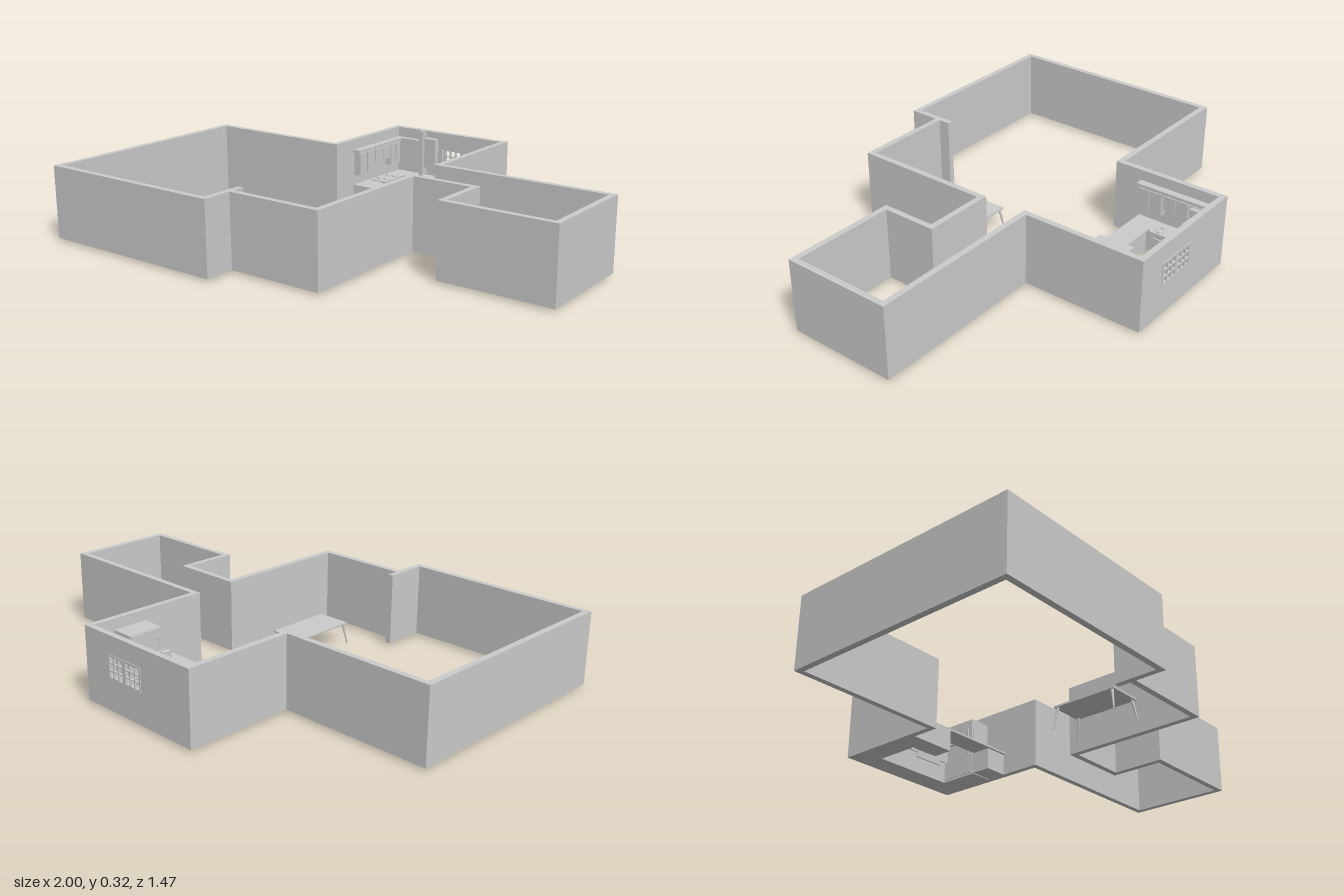
import * as THREE from 'three';

const WALL_BASE = 0.01, WALL_TOP = 0.315, T = 0.025, COUNTER = 0.11;

export function createModel() {
  const model = new THREE.Group();
  const mat = new THREE.MeshStandardMaterial({ color: 0xcccccc, flatShading: true });

  const add = (parent, name, geometry) => {
    const mesh = new THREE.Mesh(geometry, mat);
    mesh.name = name;
    parent.add(mesh);
    return mesh;
  };
  // box given by its limits on each axis
  const box = (parent, name, [x0, x1], [y0, y1], [z0, z1]) => {
    const mesh = add(parent, name, new THREE.BoxGeometry(x1 - x0, y1 - y0, z1 - z0));
    mesh.position.set((x0 + x1) / 2, (y0 + y1) / 2, (z0 + z1) / 2);
    return mesh;
  };
  const group = (name) => {
    const g = new THREE.Group();
    g.name = name;
    model.add(g);
    return g;
  };
  // horizontal bar or leg between two points
  const rod = (parent, name, a, b, r0, r1 = r0, sides = 8) => {
    const from = new THREE.Vector3(...a), dir = new THREE.Vector3(...b).sub(from);
    const mesh = add(parent, name, new THREE.CylinderGeometry(r1, r0, dir.length(), sides));
    mesh.position.copy(from).addScaledVector(dir, 0.5);
    mesh.quaternion.setFromUnitVectors(new THREE.Vector3(0, 1, 0), dir.normalize());
    return mesh;
  };

  // Outer walls: an open band around the floor plan, starting and ending at the window wall
  const walls = group('walls');
  const plan = [
    [0.245, -0.735], [0.245, -0.215], [1, -0.215], [1, 0.245], [0.515, 0.245], [0.515, 0.015 + T - 0.025],
    [0.23 + T, 0.015], [0.255, 0.605], [-0.16, 0.605], [-0.16, 0.735], [-1, 0.735],
    [-1, -0.265], [-0.345, -0.265], [-0.345, -0.735],
  ];
  const n = plan.length;
  const inner = plan.map(([x, z], i) => {
    const p = plan[(i + n - 1) % n], q = plan[(i + 1) % n];
    const a = [Math.sign(x - p[0]), Math.sign(z - p[1])], b = [Math.sign(q[0] - x), Math.sign(q[1] - z)];
    return [x - T * (a[1] + b[1]), z + T * (a[0] + b[0])];
  });
  const zBack = -0.735 + T;
  const outerBand = plan.map(([x, z]) => [x, Math.max(z, zBack)]);
  const band = [...outerBand, ...inner.reverse()];
  const bandGeo = new THREE.ExtrudeGeometry(
    new THREE.Shape(band.map(([x, z]) => new THREE.Vector2(x, -z))),
    { depth: WALL_TOP - WALL_BASE, bevelEnabled: false });
  bandGeo.rotateX(-Math.PI / 2).translate(0, WALL_BASE, 0);
  add(walls, 'outerWalls', bandGeo);
  box(walls, 'wallStub', [-0.185, -0.16], [WALL_BASE, WALL_TOP], [0.53, 0.6]);

  // Kitchen back wall with a window opening
  const win = { x0: -0.08, x1: 0.11, y0: 0.14, y1: 0.24 };
  const rect = (Kind, x0, x1, y0, y1) => new Kind([[x0, y0], [x1, y0], [x1, y1], [x0, y1]].map((p) => new THREE.Vector2(...p)));
  const backWall = rect(THREE.Shape, -0.345, 0.245, WALL_BASE, WALL_TOP);
  backWall.holes.push(rect(THREE.Path, win.x0, win.x1, win.y0, win.y1));
  add(walls, 'windowWall', new THREE.ExtrudeGeometry(backWall, { depth: T, bevelEnabled: false }).translate(0, 0, -0.735));

  // Window: two sashes with glazing bars
  const window_ = group('window');
  const zWin = [-0.738, -0.705];
  const half = (win.x1 - win.x0) / 2;
  for (let s = 0; s < 2; s++) {
    const x0 = win.x0 + s * half, x1 = x0 + half;
    const sash = rect(THREE.Shape, x0, x1, win.y0, win.y1);
    const cols = 3, rows = 3, edge = 0.009, bar = 0.005;
    const w = (half - 2 * edge - (cols - 1) * bar) / cols;
    const h = (win.y1 - win.y0 - 2 * edge - (rows - 1) * bar) / rows;
    for (let i = 0; i < cols; i++) for (let j = 0; j < rows; j++) {
      const px = x0 + edge + i * (w + bar), py = win.y0 + edge + j * (h + bar);
      sash.holes.push(rect(THREE.Path, px, px + w, py, py + h));
    }
    add(window_, 'windowSash', new THREE.ExtrudeGeometry(sash, { depth: 0.012, bevelEnabled: false }).translate(0, 0, zWin[0]));
  }
  box(window_, 'windowSill', [-0.085, 0.115], [0.134, 0.14], [-0.715, -0.7]);

  // Base cabinets and worktops around the kitchen
  const kitchen = group('kitchen');
  const slab = [COUNTER - 0.008, COUNTER], body = [WALL_BASE, COUNTER - 0.008];
  box(kitchen, 'leftCabinet', [-0.32, -0.245], body, [-0.71, -0.36]);
  box(kitchen, 'leftWorktop', [-0.32, -0.24], slab, [-0.71, -0.36]);
  box(kitchen, 'backCabinetLeft', [-0.245, -0.05], body, [-0.71, -0.635]);
  box(kitchen, 'backCabinetRight', [0.09, 0.22], body, [-0.71, -0.635]);
  box(kitchen, 'sinkCabinet', [-0.05, 0.09], [WALL_BASE, 0.08], [-0.71, -0.635]);
  box(kitchen, 'backWorktopLeft', [-0.24, -0.05], slab, [-0.71, -0.63]);
  box(kitchen, 'backWorktopRight', [0.09, 0.22], slab, [-0.71, -0.63]);
  box(kitchen, 'rightCabinet', [0.125, 0.22], body, [-0.635, -0.46]);
  box(kitchen, 'peninsulaCabinet', [-0.245, -0.12], body, [-0.445, -0.36]);
  box(kitchen, 'peninsulaWorktop', [-0.24, 0.22], slab, [-0.455, -0.36]);
  box(kitchen, 'peninsulaSupport', [0.12, 0.22], body, [-0.455, -0.37]);

  // Double sink with tap
  const sink = group('sink');
  const rim = rect(THREE.Shape, -0.05, 0.09, 0.63, 0.71);
  for (const x of [-0.042, 0.026]) {
    rim.holes.push(rect(THREE.Path, x, x + 0.056, 0.638, 0.685));
    box(sink, 'basinFloor', [x - 0.002, x + 0.058], [0.08, 0.084], [-0.687, -0.636]);
    const drain = add(sink, 'drain', new THREE.CylinderGeometry(0.008, 0.008, 0.003, 12));
    drain.position.set(x + 0.028, 0.0855, -0.66);
  }
  add(sink, 'sinkRim', new THREE.ExtrudeGeometry(rim, { depth: 0.03, bevelEnabled: false })
    .rotateX(-Math.PI / 2).translate(0, 0.081, 0));
  const spout = new THREE.CatmullRomCurve3([[0.11, -0.697], [0.145, -0.697], [0.155, -0.68], [0.14, -0.665]]
    .map(([y, z]) => new THREE.Vector3(0.02, y, z)));
  add(sink, 'tap', new THREE.TubeGeometry(spout, 12, 0.003, 6));

  // Hob with four burners, oven front and handle
  const stove = group('stove');
  box(stove, 'hob', [-0.3, -0.225], [COUNTER, 0.115], [-0.61, -0.47]);
  box(stove, 'ovenDoor', [-0.245, -0.225], [0.025, COUNTER], [-0.61, -0.47]);
  rod(stove, 'ovenHandle', [-0.221, 0.092, -0.595], [-0.221, 0.092, -0.485], 0.003);
  for (const x of [-0.28, -0.245]) for (const z of [-0.573, -0.507]) {
    const burner = add(stove, 'burner', new THREE.CylinderGeometry(0.013, 0.014, 0.006, 12));
    burner.position.set(x, 0.118, z);
  }

  // Wall cabinets with door panels
  const uppers = group('wallCabinets');
  for (const [z0, z1, y0] of [[-0.48, -0.365, 0.155], [-0.6, -0.485, 0.19], [-0.68, -0.605, 0.155]]) {
    box(uppers, 'leftWallCabinet', [-0.32, -0.295], [y0, 0.257], [z0, z1]);
    const mid = (z0 + z1) / 2;
    for (const [a, b] of [[z0, mid], [mid, z1]])
      box(uppers, 'cabinetDoor', [-0.295, -0.289], [y0 + 0.004, 0.253], [a + 0.003, b - 0.003]);
  }
  box(uppers, 'cornice', [-0.32, -0.288], [0.257, 0.27], [-0.71, -0.36]);
  box(uppers, 'backWallCabinet', [-0.29, -0.185], [0.155, 0.27], [-0.71, -0.685]);
  box(uppers, 'cabinetPost', [-0.183, -0.163], [COUNTER, 0.318], [-0.71, -0.675]);
  box(uppers, 'backWallCabinetDoor', [-0.158, -0.1], [0.15, 0.285], [-0.71, -0.682]);

  // Tall refrigerator against the right wall
  const fridge = group('refrigerator');
  box(fridge, 'fridgeBody', [0.13, 0.22], [WALL_BASE, 0.27], [-0.62, -0.47]);
  box(fridge, 'fridgeLowerDoor', [0.122, 0.13], [0.02, 0.17], [-0.618, -0.472]);
  box(fridge, 'fridgeUpperDoor', [0.122, 0.13], [0.175, 0.268], [-0.618, -0.472]);
  for (const [y0, y1] of [[0.1, 0.16], [0.185, 0.23]])
    rod(fridge, 'fridgeHandle', [0.119, y0, -0.49], [0.119, y1, -0.49], 0.003);

  // Dining table on four splayed legs
  const table = group('table');
  box(table, 'tableTop', [-0.037, 0.113], [0.088, 0.096], [0.125, 0.415]);
  for (const sx of [-1, 1]) for (const sz of [-1, 1])
    rod(table, 'tableLeg', [0.038 + sx * 0.077, 0, 0.27 + sz * 0.147], [0.038 + sx * 0.064, 0.09, 0.27 + sz * 0.132], 0.003, 0.006);

  return model;
}
